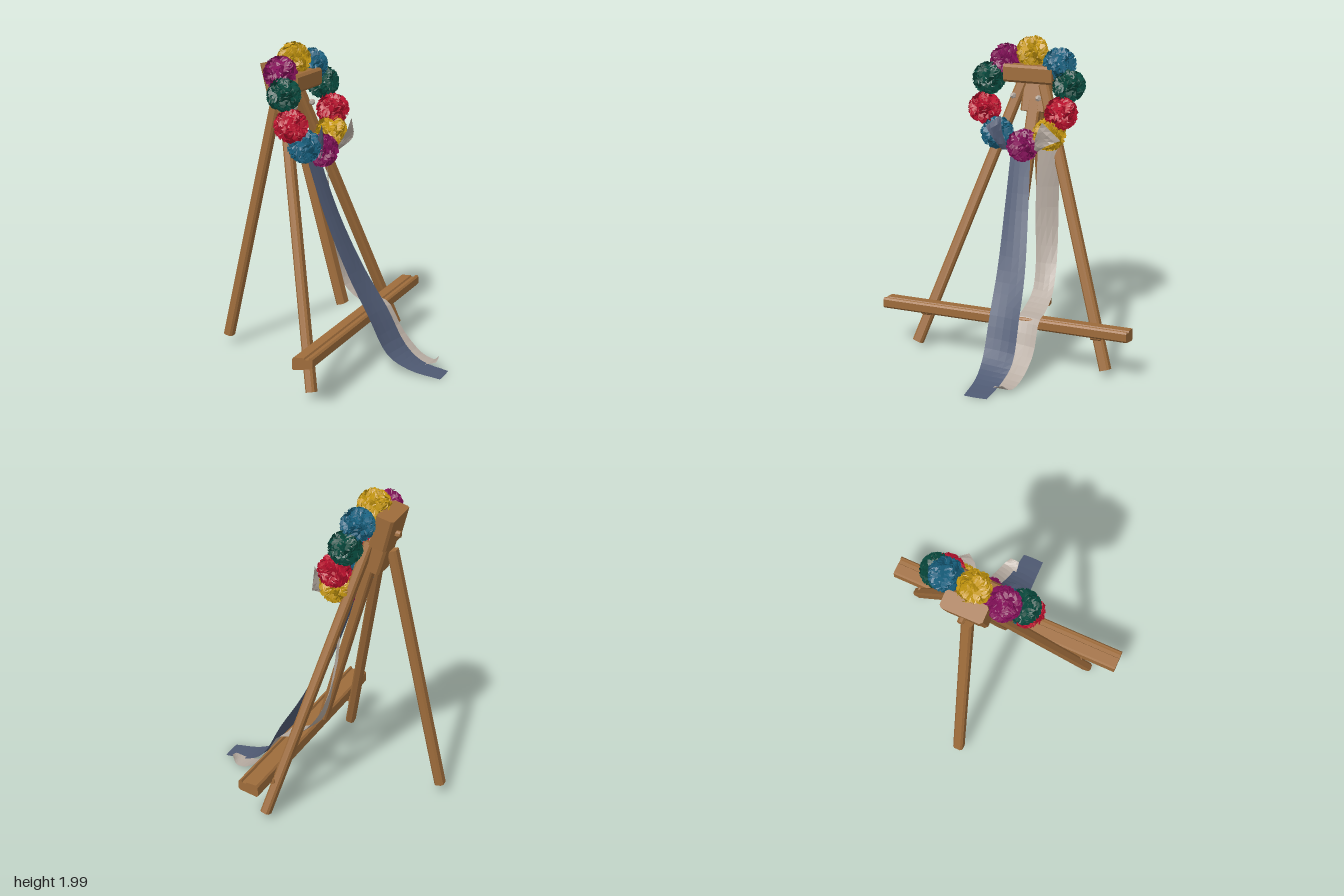
import * as THREE from 'three';
import { mergeGeometries } from 'three/addons/utils/BufferGeometryUtils.js';

const V = (x, y, z) => new THREE.Vector3(x, y, z);
const mat = (name, color, side = THREE.FrontSide) => {
  const m = new THREE.MeshStandardMaterial({ color, side, flatShading: true });
  m.name = name;
  return m;
};

export function createModel() {
  const group = new THREE.Group();
  const D = THREE.DoubleSide;
  const wood = mat('wood', 0x9e6c3b);
  const yellow = mat('yellow', 0xc4960f, D);
  const magenta = mat('magenta', 0x85105a, D);
  const teal = mat('teal', 0x175f7d, D);
  const green = mat('green', 0x07483c, D);
  const red = mat('red', 0xb80f2c, D);
  const slate = mat('slateBlue', 0x4f5a73, D);
  const pale = mat('paleGrey', 0xb5aaa0, D);

  let seed = 11;
  const rnd = () => (seed = (seed * 16807) % 2147483647) / 2147483647;

  const add = (name, geo, material) => {
    const mesh = new THREE.Mesh(geo, material);
    mesh.name = name;
    group.add(mesh);
    return mesh;
  };

  // Direction the stand faces
  const facing = V(0.966, 0, -0.26).normalize();

  // Bevelled beam from a to b: w across, d along the facing direction
  const chamfered = (w, d, c) => [
    [-w / 2 + c, -d / 2], [w / 2 - c, -d / 2], [w / 2, -d / 2 + c], [w / 2, d / 2 - c],
    [w / 2 - c, d / 2], [-w / 2 + c, d / 2], [-w / 2, d / 2 - c], [-w / 2, -d / 2 + c]];
  const beam = (name, a, b, profile) => {
    const shape = new THREE.Shape(profile.map(p => new THREE.Vector2(...p)));
    const geo = new THREE.ExtrudeGeometry(shape, { depth: a.distanceTo(b), bevelEnabled: false });
    const z = b.clone().sub(a).normalize();
    const y = facing.clone().addScaledVector(z, -facing.dot(z)).normalize();
    const x = y.clone().cross(z);
    geo.applyMatrix4(new THREE.Matrix4().makeBasis(x, y, z).setPosition(a));
    return add(name, geo, wood);
  };

  // Legs and centre mast
  const leg = chamfered(0.067, 0.058, 0.012);
  beam('frontLegLeft', V(0.3, 0.05, 0.605), V(-0.28, 1.72, 0.19), leg);
  beam('frontLegRight', V(-0.03, 0.05, -0.62), V(-0.29, 1.7, 0.04), leg);
  beam('backLeg', V(-0.68, 0.08, 0.3), V(-0.375, 1.64, 0.15), chamfered(0.067, 0.06, 0.012));
  beam('mast', V(0.07, 0.4, 0.05), V(-0.28, 1.6, 0.1), chamfered(0.08, 0.055, 0.01));

  // Head: wide plank over a narrower neck, with a bar across the front
  beam('headNeck', V(-0.285, 1.52, 0.105), V(-0.34, 1.72, 0.12), chamfered(0.17, 0.11, 0.015));
  beam('headPlank', V(-0.33, 1.69, 0.13), V(-0.383, 1.885, 0.135), chamfered(0.26, 0.11, 0.015));
  beam('headBar', V(-0.245, 1.775, -0.065), V(-0.165, 1.775, 0.245), chamfered(0.11, 0.09, 0.015));
  const knob = add('knob', new THREE.CylinderGeometry(0.025, 0.02, 0.05, 8), wood);
  knob.position.set(-0.41, 1.75, 0.14);
  knob.quaternion.setFromUnitVectors(V(0, 1, 0), facing);

  // Tray: grooved profile, front edge tipped up
  beam('tray', V(-0.04, 0.305, -0.78), V(0.385, 0.305, 0.78), [
    [-0.02, -0.065], [0.04, -0.065], [0.046, -0.055], [0.022, 0.055], [0.01, 0.065],
    [-0.035, 0.065], [-0.045, 0.055], [-0.045, 0.045], [-0.03, 0.04], [-0.028, 0.015],
    [-0.038, 0.01], [-0.032, -0.055]]);
  for (const [x, z] of [[0.27, 0.54], [-0.02, -0.56]]) {
    beam('trayPeg', V(x - 0.01, 0.262, z - 0.03), V(x + 0.01, 0.262, z + 0.03), chamfered(0.035, 0.08, 0.01));
  }

  // Pompom: crumpled core covered with leaning wavy petals
  const pompom = () => {
    const core = new THREE.IcosahedronGeometry(0.08, 3);
    const parts = [core];
    const p = core.attributes.position, v = V();
    for (let i = 0; i < p.count; i++) {
      v.fromBufferAttribute(p, i);
      v.multiplyScalar(1 + 0.09 * Math.sin(v.x * 130) * Math.sin(v.y * 110 + 1) + 0.06 * Math.sin(v.z * 170));
      p.setXYZ(i, v.x, v.y, v.z);
    }
    const n = 85;
    for (let k = 0; k < n; k++) {
      const h = 1 - 2 * (k + 0.5) / n, s = Math.sqrt(1 - h * h), t = k * 2.39996;
      const d = V(s * Math.cos(t), h, s * Math.sin(t));
      const side = V(rnd() - 0.5, rnd() - 0.5, rnd() - 0.5).cross(d).normalize();
      const lean = side.clone().cross(d);
      const petal = new THREE.PlaneGeometry(0.065, 0.05, 5, 2);
      const q = petal.attributes.position, phase = rnd() * 6;
      for (let i = 0; i < q.count; i++) {
        const x = q.getX(i), y = q.getY(i) + 0.025;
        const wave = 0.008 * Math.sin(x * 190 + phase) * (0.4 + y * 20);
        v.set(0, 0, 0).addScaledVector(d, 0.072 + y * 0.65 + wave)
          .addScaledVector(side, x).addScaledVector(lean, y * 0.7 - 0.015 + wave);
        v.clampLength(0, 0.105);
        q.setXYZ(i, v.x, v.y, v.z);
      }
      parts.push(petal.toNonIndexed());
    }
    const geo = mergeGeometries(parts);
    geo.computeVertexNormals();
    return geo;
  };

  // Ring of pompoms
  const flower = pompom();
  [[yellow, -0.265, 1.9, 0.11], [magenta, -0.22, 1.84, 0.28], [green, -0.13, 1.73, 0.35],
    [red, -0.08, 1.55, 0.345], [teal, -0.07, 1.41, 0.24], [magenta, -0.09, 1.35, 0.055],
    [yellow, -0.15, 1.43, -0.1], [red, -0.19, 1.56, -0.16], [green, -0.27, 1.72, -0.16],
    [teal, -0.29, 1.84, -0.075]].forEach(([m, x, y, z], i) => {
    const mesh = add('pompom', flower, m);
    mesh.position.set(x, y, z);
    mesh.rotation.y = i * 1.3;
  });

  // Ribbon: sheet between two edge curves, rows are [y, leftX, leftZ, rightX, rightZ, rightY if different]
  const ribbon = (name, rows, material, steps) => {
    const left = new THREE.CatmullRomCurve3(rows.map(r => V(r[1], r[0], r[2])));
    const right = new THREE.CatmullRomCurve3(rows.map(r => V(r[3], r[5] ?? r[0], r[4])));
    const geo = new THREE.PlaneGeometry(1, 1, 4, steps);
    const p = geo.attributes.position;
    for (let i = 0; i < p.count; i++) {
      const u = p.getX(i) + 0.5, t = 0.5 - p.getY(i);
      const v = left.getPoint(t).lerp(right.getPoint(t), u);
      v.addScaledVector(facing, 0.008 * Math.sin(u * Math.PI) * Math.sin(t * 9));
      p.setXYZ(i, v.x, Math.max(v.y, 0), v.z);
    }
    geo.computeVertexNormals();
    add(name, geo, material);
  };
  ribbon('blueRibbon', [
    [1.36, -0.13, 0.17, -0.15, 0.04], [0.95, 0, 0.13, -0.03, -0.03], [0.6, 0.14, 0.08, 0.11, -0.11],
    [0.35, 0.27, 0.04, 0.25, -0.17], [0.12, 0.39, 0, 0.37, -0.21], [0.04, 0.52, -0.05, 0.49, -0.22],
    [0.01, 0.71, -0.11, 0.67, -0.25]], slate, 24);
  ribbon('paleRibbon', [
    [1.36, -0.13, -0.03, -0.21, -0.13], [0.95, -0.1, -0.035, -0.2, -0.14], [0.6, -0.07, -0.06, -0.11, -0.19],
    [0.45, -0.01, -0.08, -0.01, -0.23], [0.375, 0.11, -0.1, 0.09, -0.25], [0.345, 0.2, -0.12, 0.18, -0.27],
    [0.17, 0.29, -0.15, 0.28, -0.3], [0.05, 0.42, -0.18, 0.42, -0.31], [0.03, 0.52, -0.2, 0.52, -0.31],
    [0.05, 0.59, -0.23, 0.57, -0.29, 0.07]], pale, 28);

  // Loose ribbon ends lying over the pompoms
  ribbon('blueRibbonEnd', [
    [1.47, 0.04, 0.245, 0, 0.16, 1.54], [1.41, 0.04, 0.2, 0, 0.145, 1.43],
    [1.32, -0.02, 0.165, -0.04, 0.13]], slate, 5);
  ribbon('paleRibbonEnd', [
    [1.53, -0.02, -0.14, -0.08, -0.235, 1.42], [1.44, -0.025, -0.09, -0.04, -0.17, 1.39],
    [1.34, -0.07, -0.045, -0.07, -0.07, 1.33]], pale, 5);

  // Small ties on the legs
  for (const [x, z] of [[-0.18, 0.2], [-0.2, 0.02]]) {
    const tie = add('tie', new THREE.DodecahedronGeometry(0.02), pale);
    tie.position.set(x, 1.63, z);
  }
  return group;
}
